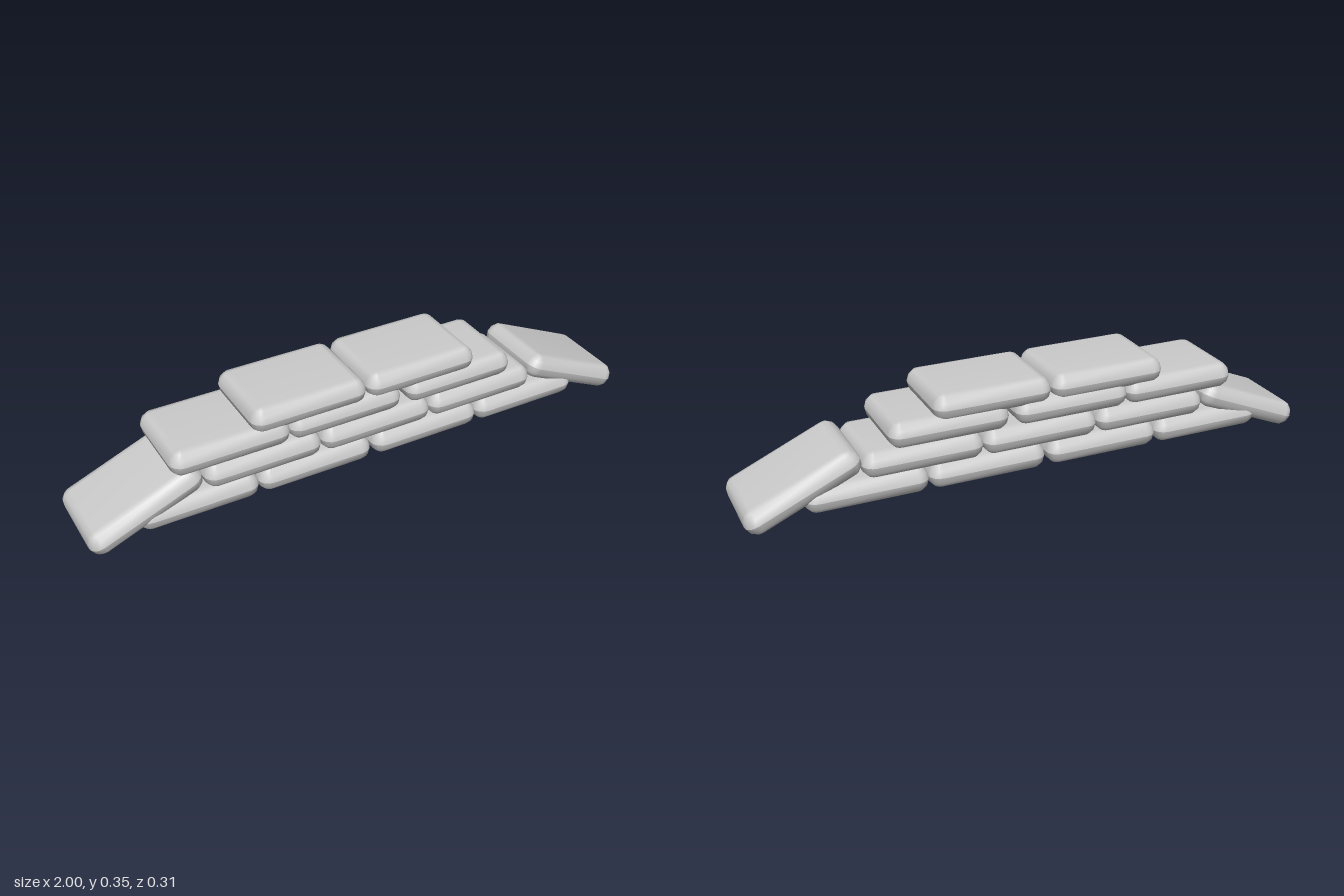
import * as THREE from 'three';
import { mergeVertices, mergeGeometries } from 'three/addons/utils/BufferGeometryUtils.js';

const LENGTH = 0.41, HEIGHT = 0.09, DEPTH = 0.312, ROUND = 0.042;
const CORNER_STEPS = 4, BEVEL_STEPS = 3;

// Rounded-rectangle outline shrunk by an inset, at height y
function outline(inset, y) {
  const points = [];
  const r = ROUND - inset;
  for (let c = 0; c < 4; c++) {
    const sx = c === 0 || c === 3 ? 1 : -1;
    const sz = c < 2 ? 1 : -1;
    for (let i = 0; i <= CORNER_STEPS; i++) {
      const a = (c + i / CORNER_STEPS) * Math.PI / 2;
      points.push([
        sx * (LENGTH / 2 - ROUND) + r * Math.cos(a), y,
        sz * (DEPTH / 2 - ROUND) + r * Math.sin(a),
      ]);
    }
  }
  return points;
}

// Pillow half: bevelled rings from the seam up to a flat cap
function halfBag() {
  const positions = [], index = [];
  const n = 4 * (CORNER_STEPS + 1);
  for (let k = 0; k <= BEVEL_STEPS; k++) {
    const t = k / BEVEL_STEPS * Math.PI / 2;
    positions.push(...outline(ROUND * (1 - Math.cos(t)), HEIGHT / 2 * Math.sin(t)).flat());
  }
  positions.push(0, HEIGHT / 2, 0);
  const centre = n * (BEVEL_STEPS + 1);
  for (let i = 0; i < n; i++) {
    const j = (i + 1) % n;
    for (let k = 0; k < BEVEL_STEPS; k++) {
      const a = k * n + i, b = k * n + j;
      index.push(a, a + n, b, b, a + n, b + n);
    }
    index.push(BEVEL_STEPS * n + i, centre, BEVEL_STEPS * n + j);
  }
  const geometry = new THREE.BufferGeometry();
  geometry.setAttribute('position', new THREE.Float32BufferAttribute(positions, 3));
  geometry.setIndex(index);
  const welded = mergeVertices(geometry, 1e-5);
  welded.computeVertexNormals();
  return welded;
}

export function createModel() {
  const model = new THREE.Group();
  model.name = 'sandbagWall';
  const material = new THREE.MeshStandardMaterial({ color: 0xcccccc });

  // Two halves kept separate so the seam stays sharp
  const upper = halfBag();
  const bag = mergeGeometries([upper, upper.clone().rotateX(Math.PI)]);

  function addBag(name, x, y, tilt = 0) {
    const mesh = new THREE.Mesh(bag, material);
    mesh.name = name;
    mesh.position.set(x, y, 0);
    mesh.rotation.z = tilt;
    model.add(mesh);
  }

  // Stacked courses, bottom to top
  const courses = [
    { y: 0.078, xs: [-0.632, -0.224, 0.194, 0.602] },
    { y: 0.160, xs: [-0.406, 0.004, 0.412] },
    { y: 0.244, xs: [-0.515, -0.110, 0.322] },
    { y: 0.310, xs: [-0.240, 0.172] },
  ];
  courses.forEach(({ y, xs }, row) => {
    xs.forEach((x, i) => addBag(`course${row + 1}Bag${i + 1}`, x, y));
  });

  // Bags leaning against the two ends
  addBag('leftLeaningBag', 0.807, 0.112, -0.42);
  addBag('rightLeaningBag', -0.808, 0.107, 0.39);

  return model;
}
